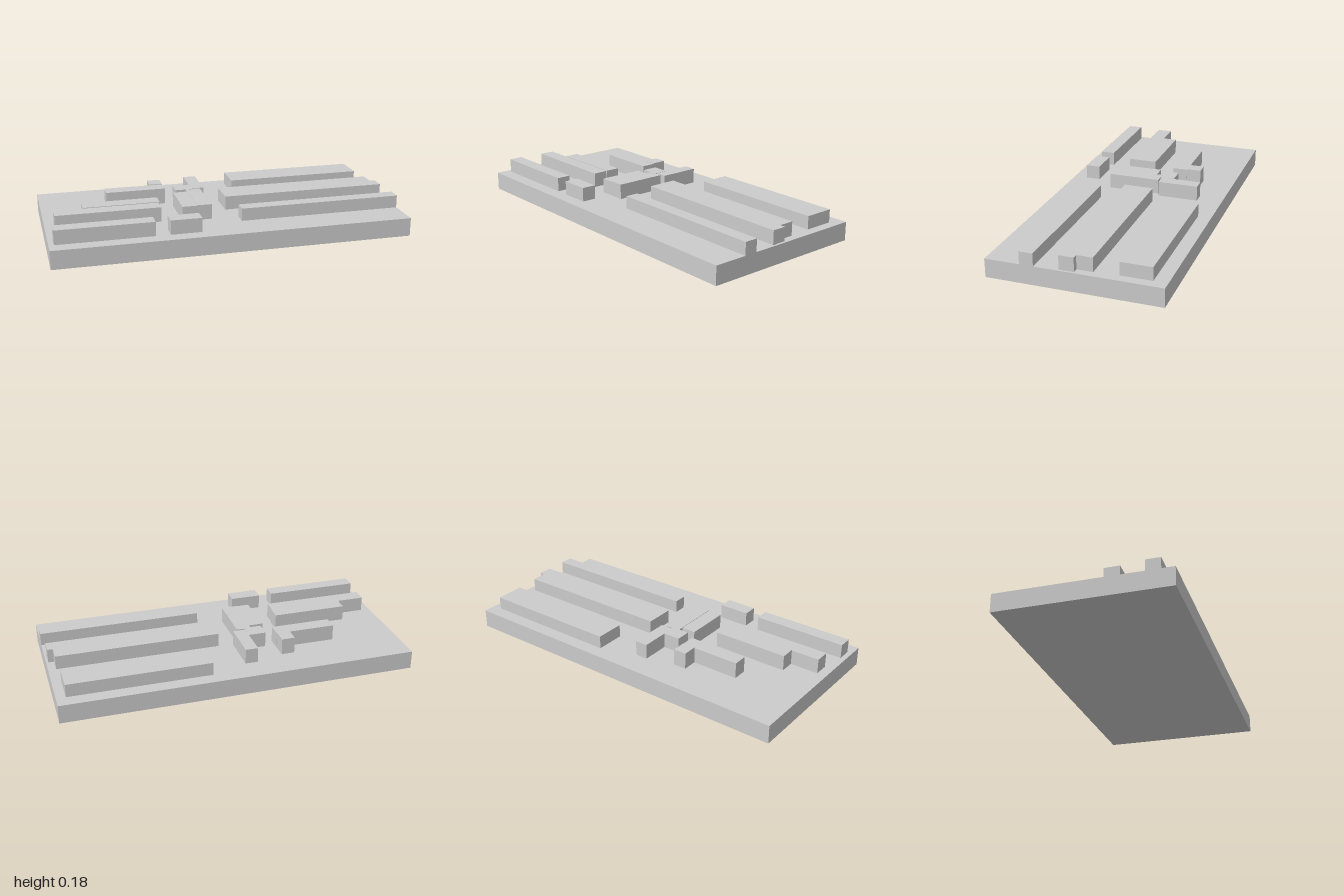
import * as THREE from 'three';

export function createModel() {
  const model = new THREE.Group();
  model.name = 'cityBlockModel';

  // Everything is laid out along the slab's own axes, then turned once
  const site = new THREE.Group();
  site.name = 'site';
  site.rotation.y = 0.5537;
  model.add(site);

  const material = new THREE.MeshStandardMaterial({ color: 0xcccccc, flatShading: true });
  const slabTop = 0.095;

  // Box spanning x0..x1, z0..z1 and y0..y1
  function block(name, x0, x1, z0, z1, y1, y0 = slabTop) {
    const mesh = new THREE.Mesh(new THREE.BoxGeometry(x1 - x0, y1 - y0, z1 - z0), material);
    mesh.position.set((x0 + x1) / 2, (y0 + y1) / 2, (z0 + z1) / 2);
    mesh.name = name;
    site.add(mesh);
  }

  // Ground slab
  block('baseSlab', -0.908, 0.908, -0.432, 0.432, slabTop, 0);

  // Long halls on the right
  block('backHall', 0.136, 0.86, -0.363, -0.208, 0.162);
  block('middleHall', 0.028, 0.868, -0.086, 0.068, 0.166);
  block('middleHallAnnex', 0.868, 0.896, -0.006, 0.068, 0.166);
  block('frontHall', 0.065, 0.908, 0.188, 0.257, 0.16);

  // Cluster in the centre
  block('centreTower', -0.115, -0.05, -0.303, -0.092, 0.173);
  block('centreLink', -0.205, -0.115, -0.157, -0.077, 0.174);
  block('centreHouseLeft', -0.225, -0.15, -0.05, 0.187, 0.171);
  block('centreHouseRight', -0.15, -0.074, -0.083, 0.187, 0.173);
  block('frontHut', -0.322, -0.165, 0.287, 0.362, 0.168);

  // Rows on the left
  block('leftBackRow', -0.568, -0.256, -0.188, -0.113, 0.177);
  block('leftBackWing', -0.325, -0.257, -0.264, -0.188, 0.18);
  block('leftMiddleRow', -0.713, -0.323, 0.013, 0.089, 0.174);
  block('leftLongRow', -0.86, -0.33, 0.089, 0.166, 0.171);
  block('leftFrontRow', -0.882, -0.395, 0.288, 0.361, 0.168);

  return model;
}
